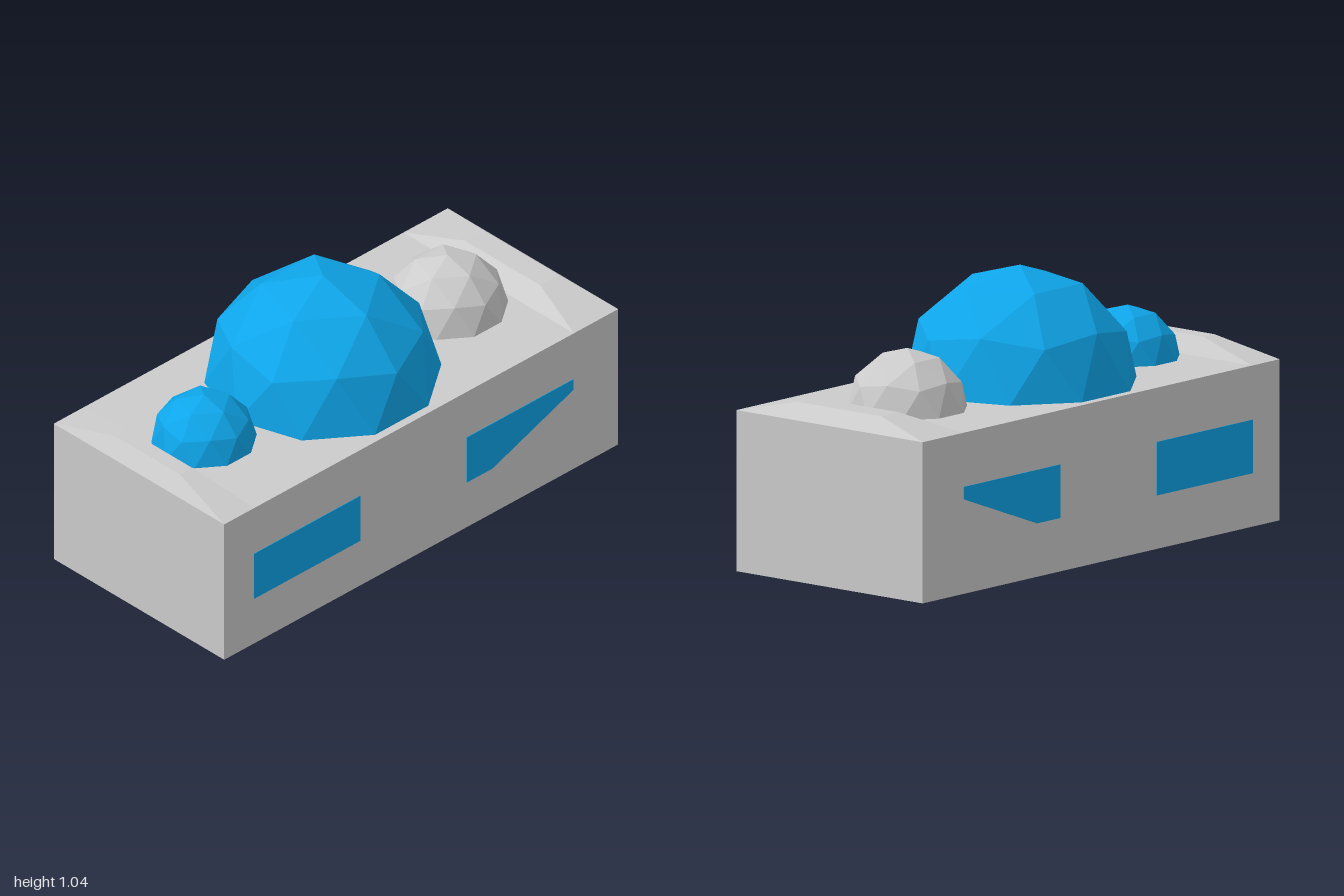
import * as THREE from 'three';

const grey = new THREE.MeshStandardMaterial({ color: 0xcccccc, flatShading: true });
const blue = new THREE.MeshStandardMaterial({ color: 0x0ea5e9, flatShading: true });

const BODY = { width: 0.9, height: 0.602, length: 2 };

// Faceted dome: an icosphere with a vertex at the top, sunk halfway into the body
function dome(name, radius, z, material) {
  const geometry = new THREE.IcosahedronGeometry(radius, 1);
  geometry.rotateZ(-Math.atan(2 / (1 + Math.sqrt(5))));
  const mesh = new THREE.Mesh(geometry, material);
  mesh.name = name;
  mesh.position.set(0, BODY.height, z);
  return mesh;
}

// Low ridge: a box whose top corners are pulled inwards
function ridge(name, [z0, z1], [top0, top1], topHalfWidth, height) {
  const geometry = new THREE.BoxGeometry(BODY.width, height, z1 - z0).toNonIndexed();
  const p = geometry.attributes.position;
  for (let i = 0; i < p.count; i++) {
    const top = p.getY(i) > 0;
    const back = p.getZ(i) < 0;
    const x = Math.sign(p.getX(i)) * (top ? topHalfWidth : BODY.width / 2);
    const z = top ? (back ? top0 : top1) : (back ? z0 : z1);
    p.setXYZ(i, x, BODY.height + (top ? height : 0), z);
  }
  geometry.computeVertexNormals();
  const mesh = new THREE.Mesh(geometry, grey);
  mesh.name = name;
  return mesh;
}

// Thin side panel from an outline of [z, y] points, centred on the side wall
function panel(name, outline, side) {
  const thickness = 0.006;
  const shape = new THREE.Shape(outline.map(([z, y]) => new THREE.Vector2(-z, y)));
  const geometry = new THREE.ExtrudeGeometry(shape, { depth: thickness, bevelEnabled: false });
  geometry.translate(0, 0, -thickness / 2);
  geometry.rotateY(Math.PI / 2);
  const mesh = new THREE.Mesh(geometry, blue);
  mesh.name = name;
  mesh.position.x = side * (BODY.width / 2 - 0.001);
  return mesh;
}

export function createModel() {
  const model = new THREE.Group();
  model.name = 'domedBlock';

  // Main block
  const body = new THREE.Mesh(new THREE.BoxGeometry(BODY.width, BODY.height, BODY.length), grey);
  body.name = 'body';
  body.position.y = BODY.height / 2;
  model.add(body);

  // Ridges at both ends of the top
  model.add(ridge('frontRidge', [0.845, 1], [0.895, 0.957], 0.172, 0.063));
  model.add(ridge('backRidge', [-1, -0.775], [-0.942, -0.845], 0.2, 0.055));

  // Row of domes
  model.add(dome('frontDome', 0.195, 0.67, blue));
  model.add(dome('mainDome', 0.438, 0.067, blue));
  model.add(dome('backDome', 0.225, -0.565, grey));

  // Panels on both sides
  const frontOutline = [[0.85, 0.2], [0.31, 0.2], [0.31, 0.4], [0.85, 0.4]];
  const backOutline = [[-0.23, 0.2], [-0.36, 0.2], [-0.77, 0.353], [-0.77, 0.4], [-0.23, 0.4]];
  for (const [label, side] of [['left', 1], ['right', -1]]) {
    model.add(panel(label + 'FrontPanel', frontOutline, side));
    model.add(panel(label + 'BackPanel', backOutline, side));
  }
  return model;
}
